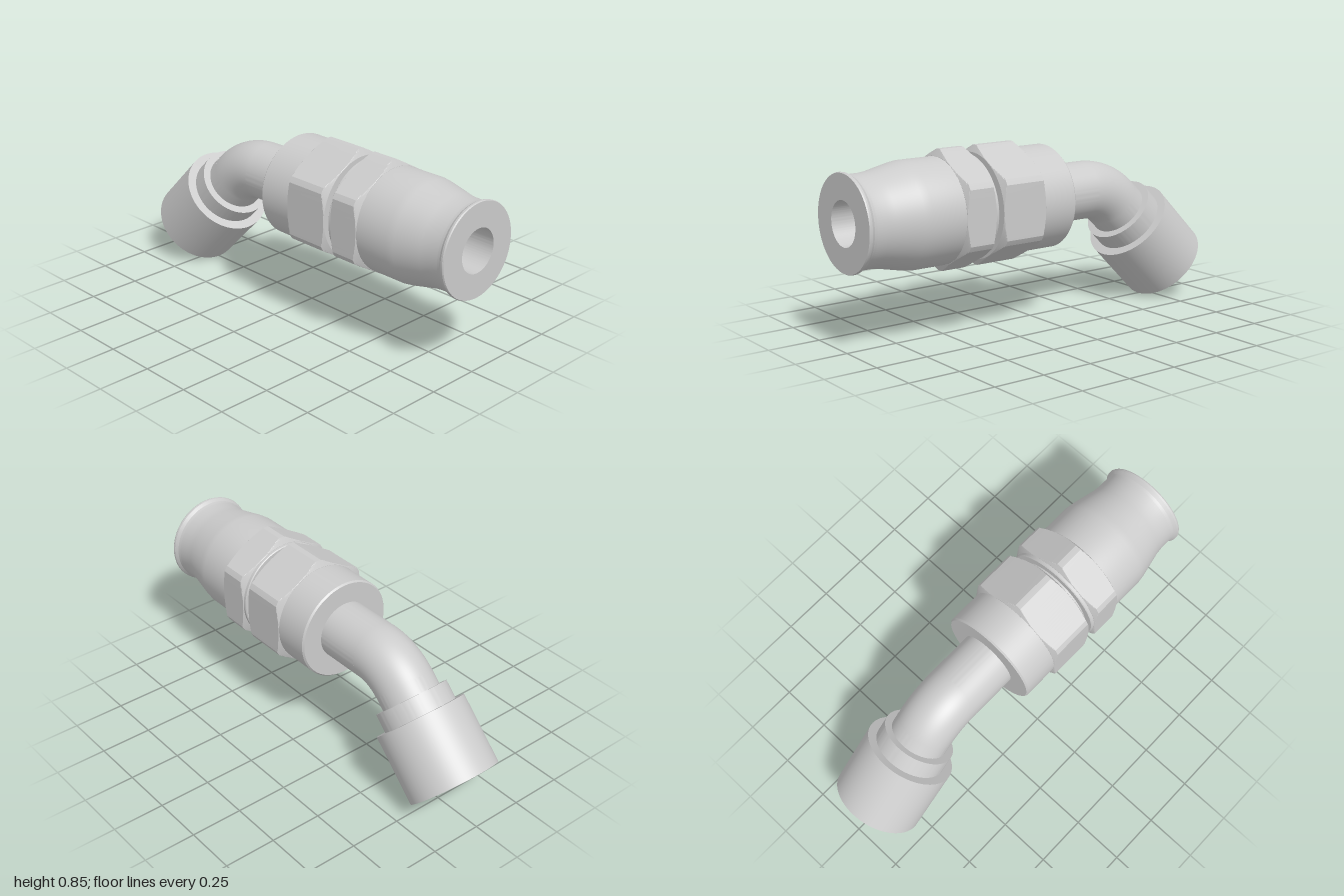
import * as THREE from 'three';
import { toCreasedNormals } from 'three/addons/utils/BufferGeometryUtils.js';

const AXIS_Y = 0.58;       // height of the main axis
const PIPE_R = 0.14;
const BEND_R = 0.27;
const HEX_FLAT = 0.248;    // centre to flat
const HEX_CORNER = 0.278;  // centre to turned-down corner
const material = new THREE.MeshStandardMaterial({ color: 0xcccccc });

// Revolve [radius, distance] pairs around the y axis, keeping hard edges sharp
function revolve(profile, shape) {
  const points = profile.map(([r, d]) => new THREE.Vector2(r, d));
  const geometry = new THREE.LatheGeometry(points, 120);
  if (shape) shape(geometry.attributes.position);
  return toCreasedNormals(geometry, 0.2);
}

// Press six flats into a revolved shape
function cutFlats(position) {
  const sector = Math.PI / 3;
  for (let i = 0; i < position.count; i++) {
    const x = position.getX(i), z = position.getZ(i);
    const r = Math.hypot(x, z);
    if (r < 1e-6) continue;
    const angle = Math.atan2(x, z);
    const local = angle - Math.round(angle / sector) * sector;
    const k = Math.min(r, HEX_FLAT / Math.cos(local)) / r;
    position.setX(i, x * k);
    position.setZ(i, z * k);
  }
}

// Hexagon with chamfered ends
function hexGeometry(start, end, chamfer) {
  const profile = [[0, start]];
  const steps = 8;
  const radius = (t) => HEX_FLAT - 0.002 + (HEX_CORNER - HEX_FLAT + 0.002) * t;
  for (let i = 0; i <= steps; i++) profile.push([radius(i / steps), start + chamfer * i / steps]);
  for (let i = steps; i >= 0; i--) profile.push([radius(i / steps), end - chamfer * i / steps]);
  profile.push([0, end]);
  return revolve(profile, cutFlats);
}

export function createModel() {
  const model = new THREE.Group();
  model.name = 'angledHoseFitting';

  function add(parent, name, geometry) {
    const mesh = new THREE.Mesh(geometry, material);
    mesh.name = name;
    parent.add(mesh);
    return mesh;
  }

  // Straight body: local +y runs along world +x
  const body = new THREE.Group();
  body.name = 'straightBody';
  body.position.y = AXIS_Y;
  body.rotation.z = -Math.PI / 2;
  model.add(body);

  add(body, 'collar', revolve([
    [0, -0.083], [0.238, -0.083], [0.245, -0.075], [0.245, 0.1], [0, 0.1],
  ]));
  add(body, 'bodyHex', hexGeometry(0.095, 0.33, 0.016));
  add(body, 'neck', revolve([[0, 0.32], [0.205, 0.32], [0.205, 0.36], [0, 0.36]]));
  add(body, 'nutShoulder', revolve([
    [0, 0.353], [0.241, 0.353], [0.245, 0.357], [0.245, 0.38], [0, 0.38],
  ]));
  add(body, 'nutHex', hexGeometry(0.37, 0.527, 0.016));

  // Hose socket with taper, flared lip and bore
  add(body, 'hoseSocket', revolve([
    [0, 0.52], [0.245, 0.52], [0.245, 0.7], [0.24, 0.735], [0.213, 0.86], [0.209, 0.9],
    [0.209, 0.955], [0.212, 0.97], [0.222, 0.985], [0.223, 0.994], [0.22, 1],
    [0.103, 1], [0.103, 0.6], [0, 0.54],
  ]));

  // Pipe: straight run, 45 degree bend, short run into the swivel
  const bendX = -0.31;
  add(body, 'pipeRun', revolve([[PIPE_R, bendX], [PIPE_R, -0.07]]));
  const bend = add(model, 'pipeBend', new THREE.TorusGeometry(BEND_R, PIPE_R, 64, 32, Math.PI / 4));
  bend.position.set(bendX, AXIS_Y - BEND_R, 0);
  bend.rotation.z = Math.PI / 2;

  // Swivel nut: local +y points down and outward along the bent end
  const swivel = new THREE.Group();
  swivel.name = 'swivelEnd';
  swivel.position.set(-0.547, 0.457, 0);
  swivel.rotation.z = Math.PI * 0.75;
  model.add(swivel);

  add(swivel, 'pipeEnd', revolve([[PIPE_R, -0.066], [PIPE_R, 0.01]]));
  add(swivel, 'swivelNut', revolve([
    [0, 0], [0.175, 0], [0.175, 0.09], [0.217, 0.09], [0.217, 0.423],
    [0.19, 0.423], [0.19, 0.15], [0, 0.15],
  ]));
  // Conical sealing nose inside the nut
  add(swivel, 'sealingNose', revolve([
    [0.165, 0.14], [0.165, 0.2], [0.11, 0.27], [0.09, 0.27], [0.09, 0.155], [0, 0.155],
  ]));

  return model;
}
